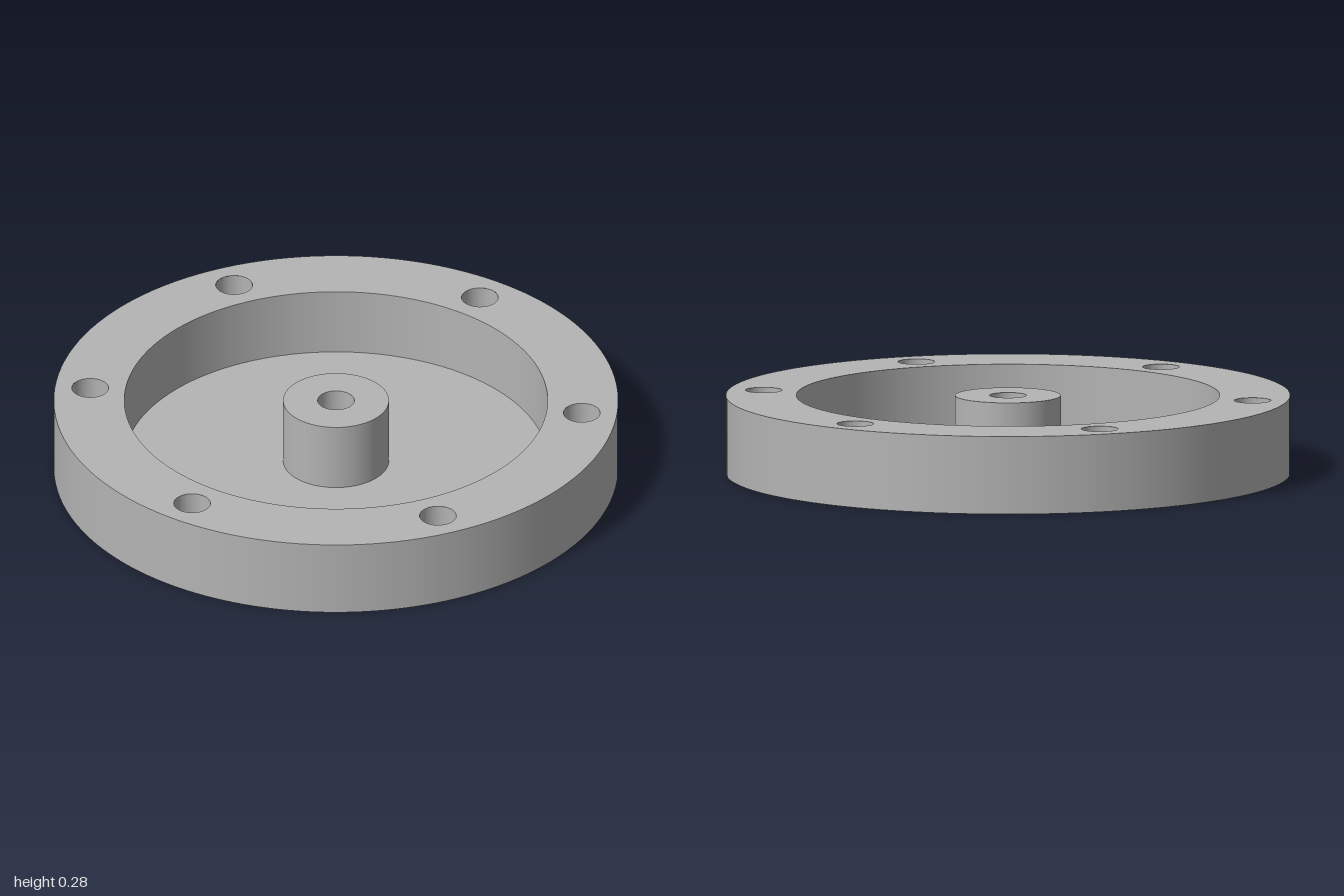
import * as THREE from 'three';

const HEIGHT = 0.278, FLOOR = 0.03;
const OUTER_R = 1, POCKET_R = 0.75, BOSS_R = 0.1875;
const HOLE_R = 0.065, BOLT_CIRCLE = 0.875, BOLTS = 6;

// Centres of the bolt holes, as [x, z]
const bolts = Array.from({ length: BOLTS }, (_, i) => {
  const a = Math.PI / 2 + (i * 2 * Math.PI) / BOLTS;
  return [BOLT_CIRCLE * Math.cos(a), BOLT_CIRCLE * Math.sin(a)];
});

export function createModel() {
  const steel = new THREE.MeshStandardMaterial({ color: 0xb4b4b4 });
  steel.name = 'steelGrey';
  const model = new THREE.Group();
  model.name = 'flangedCover';

  const add = (name, geometry) => {
    const mesh = new THREE.Mesh(geometry, steel);
    mesh.name = name;
    model.add(mesh);
    return mesh;
  };

  // Round wall: faces outward when it runs upward, inward when it runs downward
  const wall = (name, r, from, to, segments = 128) =>
    add(name, new THREE.LatheGeometry(
      [new THREE.Vector2(r, from), new THREE.Vector2(r, to)], segments));

  // Flat disc at height y with round holes, each given as [x, z, radius]
  const face = (name, r, y, holes, up = true) => {
    const shape = new THREE.Shape().absarc(0, 0, r, 0, Math.PI * 2);
    for (const [x, z, hr] of holes) {
      shape.holes.push(new THREE.Path().absarc(x, z, hr, 0, Math.PI * 2, true));
    }
    const geometry = new THREE.ShapeGeometry(shape, 64);
    geometry.rotateX(up ? -Math.PI / 2 : Math.PI / 2);
    geometry.translate(0, y, 0);
    return add(name, geometry);
  };

  const boltHoles = bolts.map(([x, z]) => [x, z, HOLE_R]);
  const centreHole = [0, 0, HOLE_R];

  // Outer rim and underside
  wall('outerWall', OUTER_R, 0, HEIGHT);
  face('rimTop', OUTER_R, HEIGHT, [[0, 0, POCKET_R], ...boltHoles]);
  face('underside', OUTER_R, 0, [centreHole, ...boltHoles], false);

  // Round pocket
  wall('pocketWall', POCKET_R, HEIGHT, FLOOR);
  face('pocketFloor', POCKET_R, FLOOR, [[0, 0, BOSS_R]]);

  // Central boss with its through hole
  wall('bossWall', BOSS_R, FLOOR, HEIGHT);
  face('bossTop', BOSS_R, HEIGHT, [centreHole]);
  wall('centreBore', HOLE_R, HEIGHT, 0, 48);

  // Bolt holes through the rim
  bolts.forEach(([x, z], i) => {
    wall(`boltBore${i + 1}`, HOLE_R, HEIGHT, 0, 48).position.set(x, 0, z);
  });

  return model;
}
